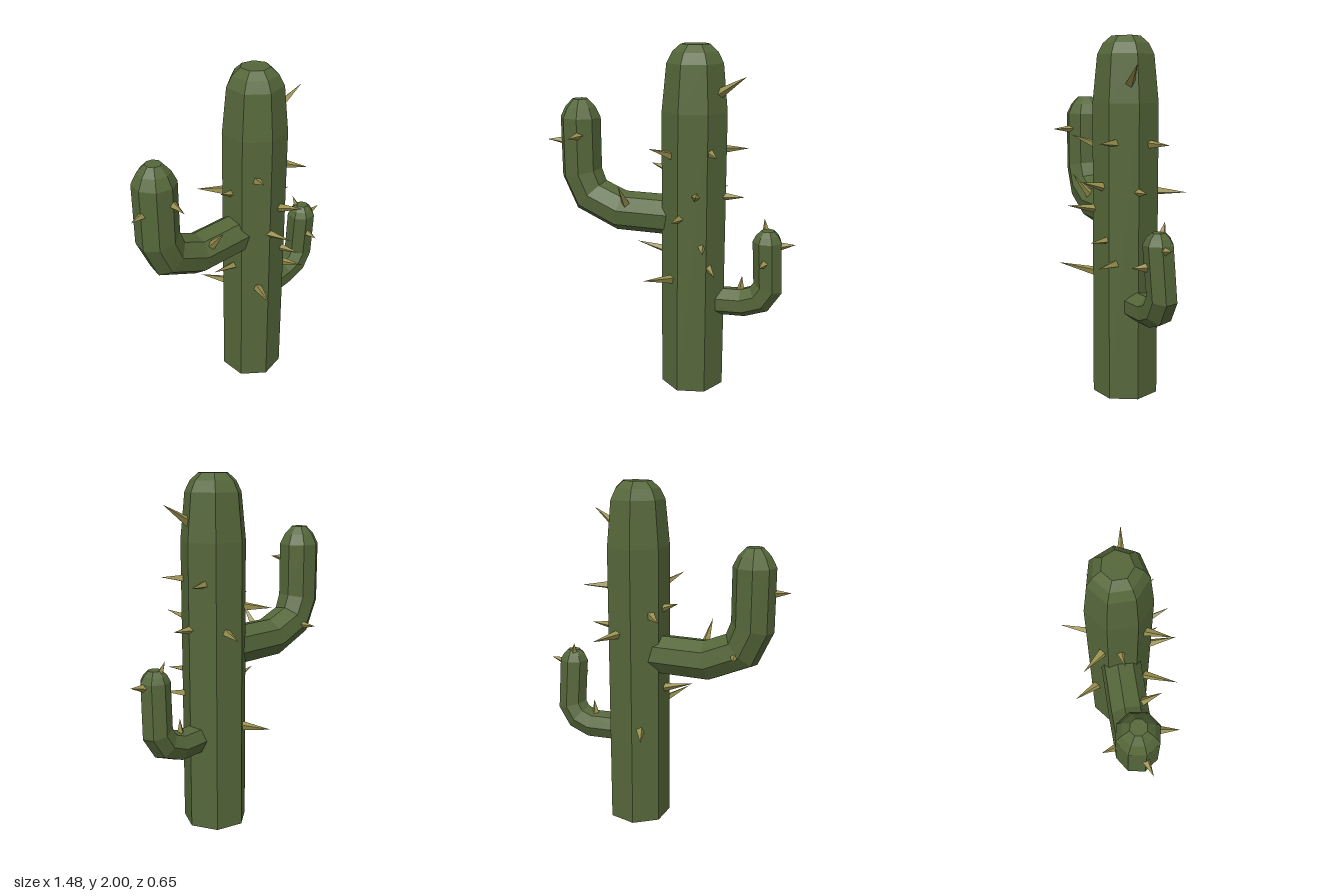
import * as THREE from 'three';

const green = new THREE.MeshStandardMaterial({ color: 0x55673a, flatShading: true });
const straw = new THREE.MeshStandardMaterial({ color: 0x99914f, flatShading: true });

// Sweep a polygon along a path of [x, y, z, radius]; bends lie in the xy plane and are mitred
function limb(name, path, sides, turn) {
  const pos = [], index = [];
  const dir = (a, b) => new THREE.Vector2(b[0] - a[0], b[1] - a[1]).normalize();
  path.forEach(([x, y, z, r], i) => {
    const before = dir(path[Math.max(i - 1, 0)], path[Math.max(i, 1)]);
    const last = path.length - 1;
    const after = dir(path[Math.min(i, last - 1)], path[Math.min(i + 1, last)]);
    const t = before.clone().add(after).normalize();
    const mitre = 1 / t.dot(after);
    for (let j = 0; j < sides; j++) {
      const a = turn + (j / sides) * Math.PI * 2;
      const s = Math.cos(a) * r * mitre;
      pos.push(x + t.y * s, y - t.x * s, z + Math.sin(a) * r);
    }
  });
  const top = (path.length - 1) * sides;
  const centre = path.length * sides;
  pos.push(...path[0].slice(0, 3), ...path[path.length - 1].slice(0, 3));
  for (let j = 0; j < sides; j++) {
    const k = (j + 1) % sides;
    for (let o = 0; o < top; o += sides) {
      const a = o + j, b = o + k, c = a + sides, d = b + sides;
      index.push(a, c, b, b, c, d);
    }
    index.push(centre, j, k, centre + 1, top + k, top + j);
  }
  const geo = new THREE.BufferGeometry();
  geo.setAttribute('position', new THREE.Float32BufferAttribute(pos, 3));
  geo.setIndex(index);
  const flat = geo.toNonIndexed();
  flat.computeVertexNormals();
  const mesh = new THREE.Mesh(flat, green);
  mesh.name = name;
  return mesh;
}

// Four-sided spine from a base point to a tip, its root sunk a little into the skin
function spine(x, y, z, tx, ty, tz) {
  const base = new THREE.Vector3(x, y, z), tip = new THREE.Vector3(tx, ty, tz);
  const d = tip.clone().sub(base).normalize();
  base.addScaledVector(d, -0.02);
  const len = base.distanceTo(tip);
  const mesh = new THREE.Mesh(new THREE.ConeGeometry(0.027, len, 4), straw);
  mesh.quaternion.setFromUnitVectors(new THREE.Vector3(0, 1, 0), d);
  mesh.position.copy(base).addScaledVector(d, len / 2);
  mesh.name = 'spine';
  return mesh;
}

function spines(name, list) {
  const g = new THREE.Group();
  g.name = name;
  list.forEach((s) => g.add(spine(...s)));
  return g;
}

export function createModel() {
  const cactus = new THREE.Group();
  cactus.name = 'cactus';

  // Seven-sided trunk with a rounded crown
  const trunk = [[0, 0.185], [1.64, 0.185], [1.9, 0.159], [1.96, 0.128], [2, 0.082]];
  cactus.add(limb('trunk', trunk.map(([y, r]) => [0.145, y, -0.01, r]), 7, 0));

  // Large arm on the right side
  cactus.add(limb('rightArm', [
    [0.05, 1.028, -0.015, 0.116], [-0.3, 1.028, -0.015, 0.116],
    [-0.49, 1.11, -0.015, 0.114], [-0.548, 1.243, -0.015, 0.118],
    [-0.548, 1.57, -0.015, 0.118], [-0.547, 1.63, -0.015, 0.088],
    [-0.547, 1.675, -0.015, 0.045],
  ], 8, -Math.PI / 15));

  // Small arm on the left side
  cactus.add(limb('leftArm', [
    [0.2, 0.532, -0.005, 0.084], [0.44, 0.532, -0.035, 0.084],
    [0.535, 0.567, -0.035, 0.084], [0.585, 0.645, -0.035, 0.084],
    [0.576, 0.925, -0.015, 0.084], [0.576, 0.96, -0.015, 0.066],
    [0.576, 0.988, -0.015, 0.038],
  ], 7, 0.2));

  cactus.add(spines('trunkSpines', [
    [0.31, 1.755, 0.03, 0.445, 1.84, 0.05],
    [0.29, 1.42, -0.09, 0.425, 1.42, -0.145],
    [0.27, 1.43, 0.11, 0.335, 1.43, 0.22],
    [0.04, 1.41, 0.125, -0.035, 1.465, 0.25],
    [-0.02, 1.3, -0.02, -0.11, 1.33, -0.01],
    [0, 1.27, -0.13, -0.085, 1.265, -0.235],
    [0.2, 1.19, 0.15, 0.24, 1.225, 0.29],
    [0.32, 1.165, -0.01, 0.44, 1.17, -0.01],
    [0.11, 1.06, 0.16, 0.115, 1.085, 0.325],
    [0.2, 1.155, -0.17, 0.265, 1.145, -0.33],
    [0.23, 0.9, 0.13, 0.27, 0.895, 0.25],
    [0.27, 0.77, 0.11, 0.335, 0.765, 0.225],
    [-0.02, 0.82, 0, -0.19, 0.86, 0.02],
    [0.05, 0.69, 0.14, -0.045, 0.735, 0.325],
    [0.06, 0.588, -0.17, -0.01, 0.585, -0.31],
  ]));
  cactus.add(spines('rightArmSpines', [
    [-0.655, 1.43, 0.01, -0.74, 1.435, 0.035],
    [-0.52, 1.475, 0.09, -0.535, 1.475, 0.2],
    [-0.245, 1.1, 0.07, -0.25, 1.22, 0.17],
    [-0.48, 1.09, -0.115, -0.5, 1.09, -0.2],
  ]));
  cactus.add(spines('leftArmSpines', [
    [0.56, 0.97, -0.04, 0.545, 1.04, -0.065],
    [0.655, 0.905, -0.015, 0.735, 0.92, -0.015],
    [0.57, 0.81, 0.06, 0.56, 0.81, 0.13],
    [0.425, 0.61, -0.035, 0.43, 0.69, -0.04],
  ]));
  return cactus;
}
